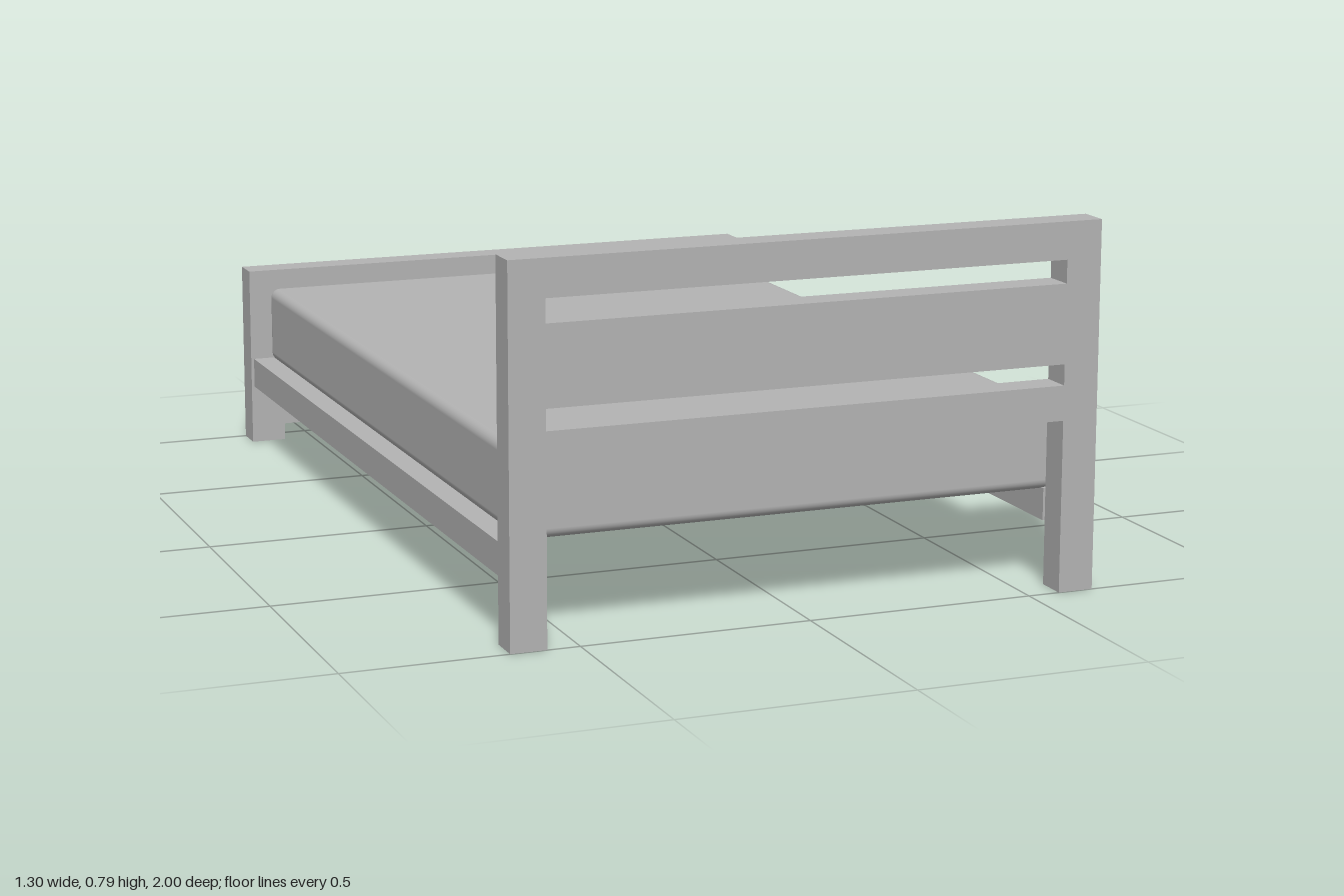
import * as THREE from 'three';
import { RoundedBoxGeometry } from 'three/addons/geometries/RoundedBoxGeometry.js';

export function createModel() {
  const bed = new THREE.Group();
  bed.name = 'bed';
  const frameGrey = new THREE.MeshStandardMaterial({ color: 0xb3b3b3, side: THREE.DoubleSide });
  frameGrey.name = 'grey';

  const add = (name, geometry, x = 0, y = 0, z = 0) => {
    const mesh = new THREE.Mesh(geometry, frameGrey);
    mesh.name = name;
    mesh.position.set(x, y, z);
    bed.add(mesh);
    return mesh;
  };

  // End panel: two legs joined by a board with horizontal slots
  const thickness = 0.07;
  function endPanel(name, z, half, height, boardBottom, slots) {
    const inner = 0.57;
    const shape = new THREE.Shape([
      [-half, 0], [-inner, 0], [-inner, boardBottom], [inner, boardBottom],
      [inner, 0], [half, 0], [half, height], [-half, height],
    ].map(([x, y]) => new THREE.Vector2(x, y)));
    for (const [low, high] of slots) {
      shape.holes.push(new THREE.Path([
        [-inner, low], [-inner, high], [inner, high], [inner, low],
      ].map(([x, y]) => new THREE.Vector2(x, y))));
    }
    add(name, new THREE.ExtrudeGeometry(shape, { depth: thickness, bevelEnabled: false }), 0, 0, z);
  }
  endPanel('headboard', 0.93, 0.648, 0.79, 0.37, [[0.445, 0.49], [0.66, 0.71]]);
  endPanel('footboard', -1, 0.652, 0.43, 0.04, [[0.1, 0.133], [0.325, 0.36]]);

  // Side rails
  for (const side of [-1, 1]) {
    add(side > 0 ? 'leftRail' : 'rightRail',
      new THREE.BoxGeometry(0.08, 0.07, 1.86), side * 0.605, 0.175, 0);
  }

  // Cross slats between the rails
  for (const z of [-0.465, 0, 0.465]) {
    add('slat', new THREE.BoxGeometry(1.13, 0.07, 0.1), 0, 0.175, z);
  }

  // Mattress: rounded shell, open underneath
  const mattressHeight = 0.18;
  const rounded = new RoundedBoxGeometry(1.195, mattressHeight, 1.86, 4, 0.022);
  const source = rounded.index ? rounded.toNonIndexed() : rounded;
  const pos = source.attributes.position;
  const nor = source.attributes.normal;
  const points = [];
  const normals = [];
  for (let i = 0; i < pos.count; i += 3) {
    const corners = [i, i + 1, i + 2];
    if (corners.every((k) => pos.getY(k) < -mattressHeight / 2 + 0.001)) continue;
    for (const k of corners) {
      points.push(pos.getX(k), pos.getY(k), pos.getZ(k));
      normals.push(nor.getX(k), nor.getY(k), nor.getZ(k));
    }
  }
  const shell = new THREE.BufferGeometry();
  shell.setAttribute('position', new THREE.Float32BufferAttribute(points, 3));
  shell.setAttribute('normal', new THREE.Float32BufferAttribute(normals, 3));
  add('mattress', shell, -0.005, 0.296, 0);

  return bed;
}
